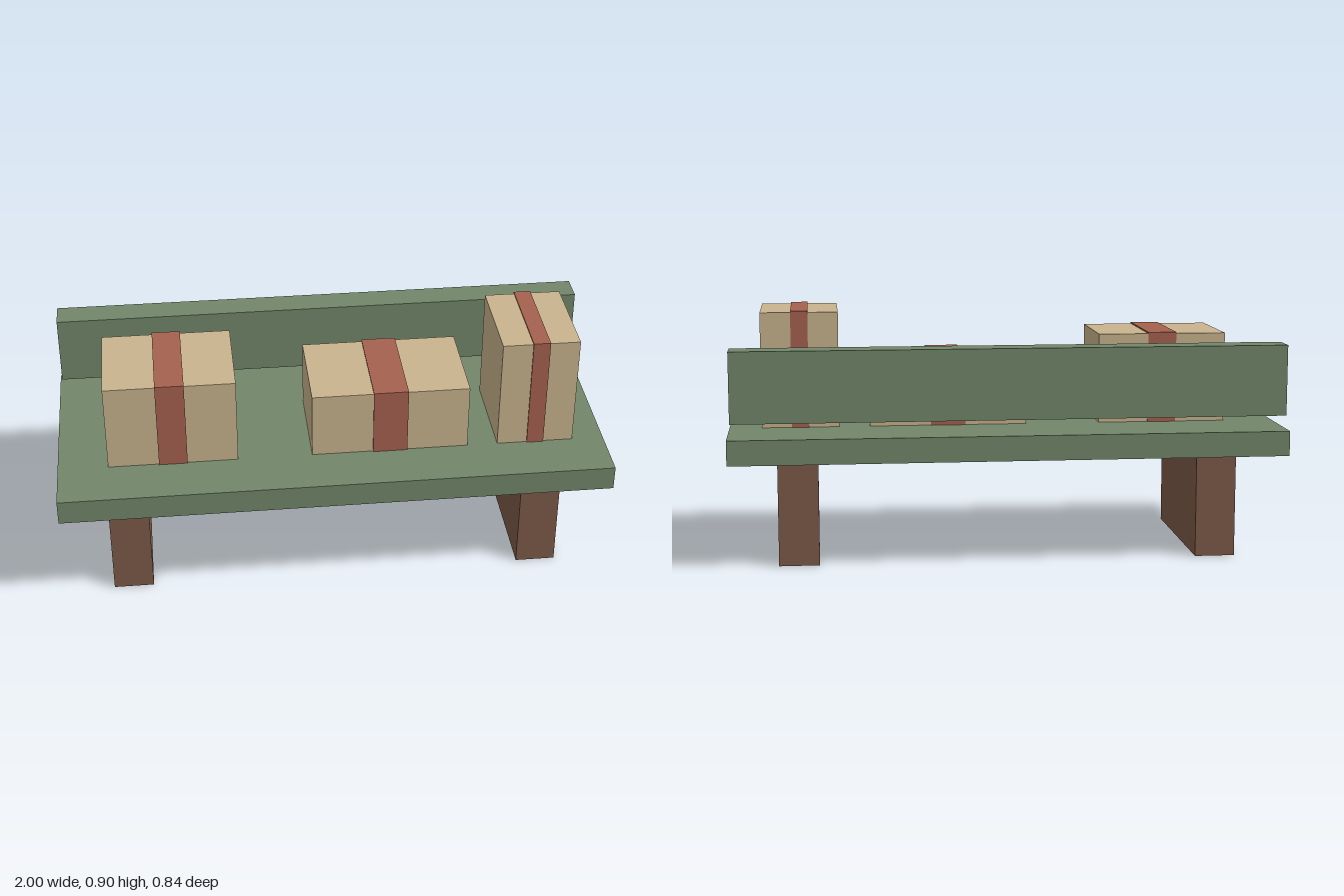
import * as THREE from 'three';

const mat = (name, color) => new THREE.MeshStandardMaterial({ name, color });

export function createModel() {
  const green = mat('sage green', 0x72866a);
  const brown = mat('brown wood', 0x7c5a49);
  const card = mat('cardboard tan', 0xc9b48d);
  const red = mat('ribbon red', 0xa5614f);
  const model = new THREE.Group();
  model.name = 'benchWithParcels';

  // Box given by its size, with its base at y
  const box = (parent, name, material, w, h, d, x, y, z) => {
    const mesh = new THREE.Mesh(new THREE.BoxGeometry(w, h, d), material);
    mesh.name = name;
    mesh.position.set(x, y + h / 2, z);
    parent.add(mesh);
  };

  // Bench
  const seatBase = 0.383, seatTop = 0.473;
  box(model, 'seat', green, 2, seatTop - seatBase, 0.836, 0, seatBase, 0);
  box(model, 'backRail', green, 1.976, 0.254, 0.105, 0, 0.528, -0.353);
  for (const side of [1, -1]) {
    box(model, side > 0 ? 'leftLeg' : 'rightLeg', brown, 0.145, seatBase, 0.643, side * 0.755, 0, 0);
  }

  // Parcels, each wrapped by a slightly proud ribbon
  const parcels = [
    ['rightParcel', -0.584, 0.47, 0.327],
    ['middleParcel', 0.207, 0.572, 0.247],
    ['leftParcel', 0.744, 0.28, 0.418],
  ];
  for (const [name, x, w, h] of parcels) {
    const parcel = new THREE.Group();
    parcel.name = name;
    parcel.position.set(x, seatTop, 0.037);
    box(parcel, 'carton', card, w, h, 0.364, 0, 0, 0);
    box(parcel, 'ribbon', red, w * 0.22, h + 0.005, 0.374, 0, 0, 0);
    model.add(parcel);
  }
  return model;
}
